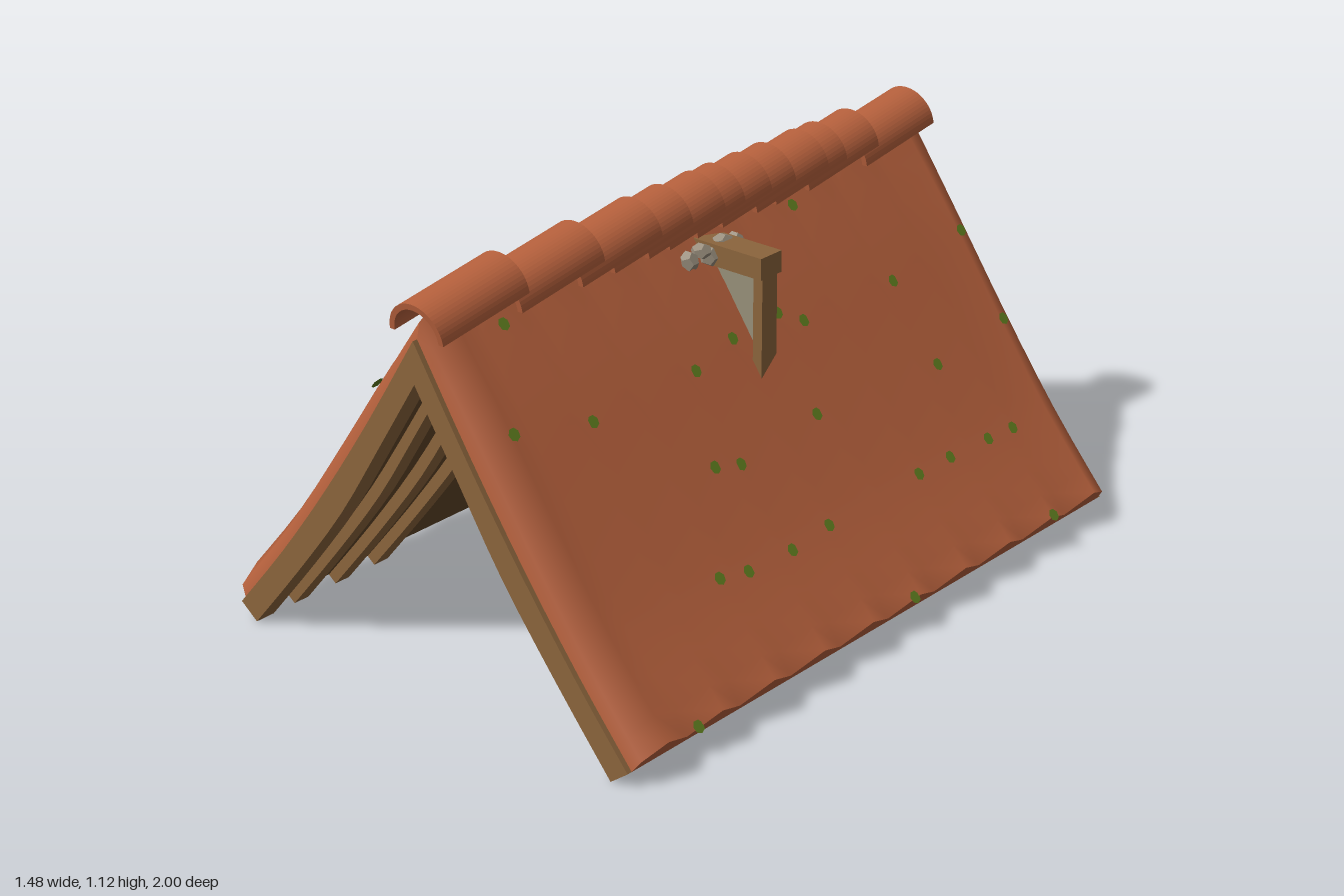
import * as THREE from 'three';

const mat = (name, color, extra = {}) => new THREE.MeshStandardMaterial({ name, color, ...extra });

export function createModel() {
  const root = new THREE.Group();
  root.name = 'tiledRoof';
  const clay = mat('clay', 0xb5603c, { side: THREE.DoubleSide });
  const wood = mat('wood', 0x8b643c);
  const darkWood = mat('darkWood', 0x634729);
  const stone = mat('stone', 0x979079);
  const rock = mat('rock', 0x9a8f7e, { flatShading: true });
  const moss = mat('moss', 0x5c7a1e, { side: THREE.DoubleSide });

  const add = (name, geo, material, x = 0, y = 0, z = 0, parent = root) => {
    const m = new THREE.Mesh(geo, material);
    m.name = name;
    m.position.set(x, y, z);
    parent.add(m);
    return m;
  };
  // Box given by its limits
  const box = (name, material, x0, x1, y0, y1, z0, z1) =>
    add(name, new THREE.BoxGeometry(x1 - x0, y1 - y0, z1 - z0), material,
      (x0 + x1) / 2, (y0 + y1) / 2, (z0 + z1) / 2);
  // Flat outline extruded from z0 to z1
  const slab = (name, material, pts, z0, z1) =>
    add(name, new THREE.ExtrudeGeometry(new THREE.Shape(pts.map(p => new THREE.Vector2(p[0], p[1]))),
      { depth: z1 - z0, bevelEnabled: false }), material, 0, 0, z0);

  // Slope profiles from the apex to the eave
  const curve = pts => new THREE.SplineCurve(pts.map(p => new THREE.Vector2(...p)));
  const inner = curve([[0, 0.865], [0.14, 0.645], [0.28, 0.43], [0.45, 0.212], [0.625, 0.003]]);
  const outer = curve([[0, 0.98], [0.17, 0.715], [0.34, 0.47], [0.51, 0.247], [0.68, 0.045]]);
  const tiles = curve([[0, 1.065], [0.18, 0.833], [0.36, 0.575], [0.54, 0.325], [0.725, 0.107]]);
  const N = 12;
  const steps = Array.from({ length: N + 1 }, (_, i) => i / N);

  // Rafters and boards share one chevron outline
  const chevron = (name, material, depth, z0, z1) => {
    const top = steps.map(t => outer.getPoint(t));
    const low = steps.map(t => outer.getPoint(t).lerp(inner.getPoint(t), depth)).reverse();
    const right = [...top, ...low];
    const left = [...low.slice(0, -1)].reverse().map(p => [-p.x, p.y]);
    const leftTop = top.slice(1).reverse().map(p => [-p.x, p.y]);
    const bottom = low[low.length - 1];
    slab(name, material, [...right.slice(0, -1).map(p => [p.x, p.y]), [0, bottom.y], ...left, ...leftTop], z0, z1);
  };
  chevron('roofBoards', darkWood, 0.55, -0.97, 0.97);
  for (const s of [-1, 1]) {
    for (const [a, b] of [[0.94, 1], [0.815, 0.865], [0.665, 0.715], [0.52, 0.57]]) {
      chevron('rafter', wood, 1, s < 0 ? -b : a, s < 0 ? -a : b);
    }
  }

  // Corrugated tile sheets with turned-down verges
  const wave = z => {
    const k = Math.abs(z) / 0.2 % 1;
    return 0.35 + 0.65 * (1 - Math.abs(2 * k - 1));
  };
  const cols = [[-0.985, 0], [-0.975, 0.5]];
  for (let j = -9; j <= 9; j++) cols.push([j / 10, wave(j / 10)]);
  cols.push([0.975, 0.5], [0.985, 0]);
  const sheet = (name, s, rows) => {
    const pos = [], idx = [], w = cols.length;
    for (const [t, k] of rows) {
      for (const [z, h] of cols) {
        const p = outer.getPoint(t).lerp(tiles.getPoint(t), h * k);
        pos.push(s * p.x, p.y, z);
      }
    }
    for (let i = 0; i < rows.length - 1; i++) {
      for (let j = 0; j < w - 1; j++) {
        const a = i * w + j, b = a + 1, c = a + w, d = c + 1;
        idx.push(...(s > 0 ? [a, b, c, b, d, c] : [a, c, b, b, c, d]));
      }
    }
    const g = new THREE.BufferGeometry();
    g.setAttribute('position', new THREE.Float32BufferAttribute(pos, 3));
    g.setIndex(idx);
    g.computeVertexNormals();
    add(name, g, clay);
  };
  for (const s of [-1, 1]) {
    sheet('tileSlope', s, steps.map(t => [t, 1]));
    sheet('tileEave', s, [[1, 1], [1, 0]]);
  }

  // Overlapping half-round ridge tiles, each rising to the back
  const arch = new THREE.Shape();
  arch.absarc(0, 0, 0.09, 0, Math.PI, false);
  arch.absarc(0, 0, 0.074, Math.PI, 0, true);
  const ridgeGeo = new THREE.ExtrudeGeometry(arch, { depth: 0.305, bevelEnabled: false, curveSegments: 14 });
  for (const z of [0.685, 0.41, 0.19, 0.07, -0.06, -0.14, -0.25, -0.35, -0.49, -0.57, -0.71, -0.96]) {
    add('ridgeTile', ridgeGeo, clay, 0, 1.031, z).rotation.x = 0.15;
  }

  // Moss patches lying on the slopes: height, then places along z
  const patches = [
    [0.325, [0.5, 0.37, 0.19, 0.05, -0.33, -0.47, -0.65, -0.77]],
    [0.54, [0.33, 0.22, -0.08, -0.62, -0.91]],
    [0.765, [0.9, 0.61, 0.22, 0.08, -0.1, -0.22, -0.61, -0.91]],
    [0.99, [0.75, -0.37]],
    [0.11, [0.77, -0.08, -0.7]],
  ];
  const mossGeo = new THREE.CircleGeometry(0.018, 7);
  const forward = new THREE.Vector3(0, 0, 1);
  for (const [y, zs] of patches) {
    let lo = 0, hi = 1;
    for (let i = 0; i < 20; i++) {
      const m = (lo + hi) / 2;
      if (tiles.getPoint(m).y > y) lo = m; else hi = m;
    }
    const d = tiles.getTangent(lo);
    for (const s of [-1, 1]) {
      for (const z of zs) {
        const p = outer.getPoint(lo).lerp(tiles.getPoint(lo), wave(z));
        const n = new THREE.Vector3(-d.y * s, d.x, 0);
        const m = add('mossPatch', mossGeo, moss, s * p.x + n.x * 0.007, p.y + n.y * 0.007, z);
        m.quaternion.setFromUnitVectors(forward, n);
      }
    }
  }

  // Timber frame through the roof with stone infill
  box('infillWall', stone, -0.235, 0.235, 0.36, 0.91, -0.045, -0.02);
  box('lowerWall', stone, -0.265, 0.265, 0.14, 0.33, -0.045, -0.02);
  box('topBeam', wood, -0.265, 0.265, 0.9, 0.96, -0.075, 0.008);
  box('lowerBeam', wood, -0.265, 0.265, 0.313, 0.37, -0.06, 0.005);
  for (const s of [-1, 1]) {
    box('framePost', wood, s < 0 ? -0.265 : 0.235, s < 0 ? -0.235 : 0.265, 0.313, 0.9, -0.058, 0.002);
    const brace = [[0.265, 0.313], [0.21, 0.313], [0.0, 0.175], [0.05, 0.14], [0.265, 0.28]];
    slab('brace', wood, brace.map(p => [s * p[0], p[1]]), -0.055, 0);
  }

  // Broken stone shaft, cut off at a slant
  slab('stoneShaft', stone, [[0, 0.88], [-0.115, 0.7], [-0.13, 0.14], [0.115, 0.45], [0.115, 0.7]], 0.01, 0.1);

  // Stacked rocks below the shaft
  const rockGeo = new THREE.DodecahedronGeometry(1, 0);
  for (const [x, y, rx, ry] of [[-0.05, 0.17, 0.036, 0.034], [0.015, 0.172, 0.036, 0.036],
    [-0.035, 0.225, 0.03, 0.03], [0.008, 0.268, 0.034, 0.036], [0.022, 0.32, 0.024, 0.034]]) {
    add('rock', rockGeo, rock, x, y, 0.03).scale.set(rx, ry, 0.035);
  }

  // Stones tucked around the frame just below the ridge
  for (const s of [-1, 1]) {
    for (const [z, y, rz, ry] of [[0.095, 0.935, 0.028, 0.03], [0.045, 0.95, 0.03, 0.022],
      [0.01, 0.925, 0.03, 0.028], [-0.04, 0.95, 0.035, 0.024], [-0.09, 0.935, 0.024, 0.03]]) {
      add('ridgeStone', rockGeo, rock, s * 0.095, y, z).scale.set(0.028, ry, rz);
    }
  }
  return root;
}
